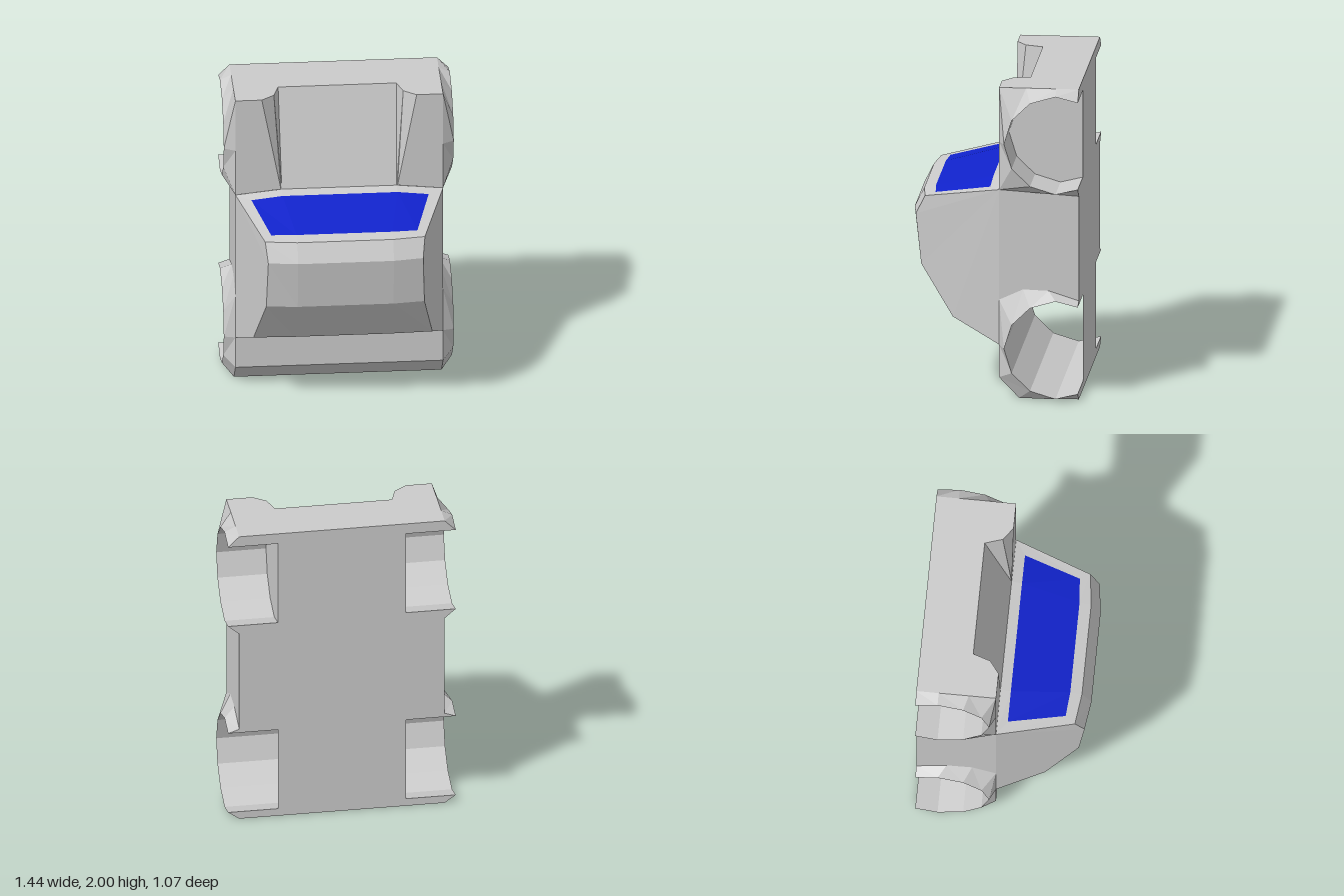
import * as THREE from 'three';

const W = 0.65, FLARE = 0.72, INNER = 0.405, BACK = -0.53, FRONT = -0.03;

// Collects convex faces, turning each one towards a hint direction
class Faces {
  constructor() { this.pos = []; }
  tri(a, b, c, hint) {
    const [A, B, C] = [a, b, c].map(p => new THREE.Vector3(...p));
    const n = B.clone().sub(A).cross(C.clone().sub(A));
    if (n.lengthSq() < 1e-12) return;
    const order = n.dot(new THREE.Vector3(...hint)) < 0 ? [a, c, b] : [a, b, c];
    order.forEach(p => this.pos.push(...p));
  }
  fan(pts, hint) {
    for (let i = 1; i < pts.length - 1; i++) this.tri(pts[0], pts[i], pts[i + 1], hint);
    return this;
  }
  strip(a, b, hint) {
    for (let i = 0; i < a.length - 1; i++) {
      const h = typeof hint === 'function' ? hint(a[i], a[i + 1]) : hint;
      this.fan([a[i], a[i + 1], b[i + 1], b[i]], h);
    }
    return this;
  }
  // Adds a copy reflected to the other side
  mirror() {
    const p = this.pos.slice();
    for (let i = 0; i < p.length; i += 9)
      for (const k of [0, 6, 3]) this.pos.push(-p[i + k], p[i + k + 1], p[i + k + 2]);
    return this;
  }
  mesh(name, color = 0xcccccc) {
    const g = new THREE.BufferGeometry();
    g.setAttribute('position', new THREE.Float32BufferAttribute(this.pos, 3));
    g.computeVertexNormals();
    const m = new THREE.Mesh(g, new THREE.MeshStandardMaterial({
      color, flatShading: true, side: THREE.DoubleSide }));
    m.name = name;
    return m;
  }
}

// Place a [z, y] outline at a given x
const at = (x, outline) => outline.map(([z, y]) => [x, y, z]);
// Full-width row with a flat middle and bent-back ends
const row = (y, xEnd, zEnd, zMid, xMid = 0.3, yMid = y) => [
  [-xEnd, y, zEnd], [-xMid, yMid, zMid], [xMid, yMid, zMid], [xEnd, y, zEnd]];

// Open wheel arch outline [z, y] around a centre height
const arch = (cy) => [
  [BACK, cy + 0.28], [-0.39, cy + 0.315], [-0.23, cy + 0.267], [-0.115, cy + 0.155],
  [-0.067, cy], [-0.115, cy - 0.155], [-0.23, cy - 0.267], [-0.39, cy - 0.315], [BACK, cy - 0.28]];

export function createModel() {
  const group = new THREE.Group();
  const add = m => group.add(m);

  // Cabin shell, from the windshield edge over the roof to the tail
  const brow = row(1.25, 0.5, 0.45, 0.475);
  const roof = [brow, row(1.13, 0.485, 0.51, 0.535), row(0.81, 0.495, 0.475, 0.495),
    row(0.49, 0.56, 0.27, 0.28), row(0.34, W, FRONT, FRONT)];
  const cabin = new Faces();
  for (let i = 0; i < roof.length - 1; i++) cabin.strip(roof[i], roof[i + 1], [0, 0, 1]);
  add(cabin.mesh('cabinRoof'));
  add(new Faces().fan([[W, 1.34, FRONT], ...roof.map(r => r[3])], [1, 0, 0])
    .mirror().mesh('cabinSides'));

  // Windshield frame and coloured glass
  const cowl = row(1.34, W, FRONT, FRONT, 0.36, 1.37);
  const glassTop = row(1.333, 0.555, 0.035, 0.035, 0.36, 1.355);
  const glassLow = row(1.264, 0.458, 0.388, 0.402, 0.3, 1.267);
  const up = [0, 1, 0.2];
  add(new Faces().strip(cowl, glassTop, up).strip(glassLow, brow, up)
    .fan([cowl[0], glassTop[0], glassLow[0], brow[0]], up)
    .fan([cowl[3], glassTop[3], glassLow[3], brow[3]], up).mesh('windshieldFrame'));
  add(new Faces().strip(glassTop, glassLow, up).mesh('windshield', 0x1022cc));

  // Sunken sloping hood between two raised fenders
  const nose = [[W, 2, FRONT], [0.485, 2, FRONT], [0.405, 2, -0.09], [0.37, 2, -0.2]];
  const hoodRear = [[W, 1.34, FRONT], [0.405, 1.366, FRONT], [0.365, 1.37, FRONT], [0.36, 1.37, FRONT]];
  const flip = ([x, y, z]) => [-x, y, z];
  add(new Faces().strip(nose, hoodRear, [-0.2, 0, 1]).mirror().mesh('fenderTops'));
  add(new Faces().fan([nose[3], flip(nose[3]), flip(hoodRear[3]), hoodRear[3]], [0, 0, 1]).mesh('hood'));

  // End plate, following the fender and hood outline
  const noseRow = [...nose, ...nose.slice().reverse().map(flip)];
  add(new Faces().strip(noseRow, noseRow.map(([x, y]) => [x, y, BACK]), [0, 1, 0]).mesh('nosePlate'));

  // Deck and chamfered bumper at the lower end
  const deck = [[FRONT, 0.34], [FRONT, 0.13], [-0.155, 0], [BACK, 0]];
  add(new Faces().strip(at(W, deck), at(-W, deck), [0, -1, 1]).mesh('tailDeck'));

  // Wheel arches: the upper pair is walled off, the lower one runs right across
  const wells = [
    { name: 'front', cy: 1.65, inner: INNER, base: [[BACK, 2], [-0.39, 2], [-0.2, 2], [FRONT, 2],
      [FRONT, 1.65], [FRONT, 1.34], [-0.2, 1.33], [-0.39, 1.318], [BACK, 1.31]] },
    { name: 'rear', cy: 0.33, inner: 0, base: [[BACK, 0.635], [-0.34, 0.695], [-0.18, 0.7], [FRONT, 0.63],
      [FRONT, 0.34], [FRONT, 0.13], [-0.155, 0], [-0.39, 0], [BACK, 0]] }];
  for (const { name, cy, inner, base } of wells) {
    const edge = arch(cy);
    const inward = (a, b) => [0, cy - (a[1] + b[1]) / 2, -0.39 - (a[2] + b[2]) / 2];
    add(new Faces().strip(at(W, base), at(FLARE, edge), [1, 0, 0]).mirror().mesh(name + 'Flares'));
    const well = new Faces().strip(at(FLARE, edge), at(inner, edge), inward);
    if (inner) well.fan(at(inner, edge), [1, 0, 0]);
    add(well.mirror().mesh(name + 'WheelWells'));
  }

  // Flat body sides between the arches
  add(new Faces().fan(at(W, [[BACK, 1.31], [BACK, 0.635], [-0.34, 0.695], [-0.18, 0.7],
    [FRONT, 0.63], [FRONT, 1.34], [-0.2, 1.33], [-0.39, 1.318]]), [1, 0, 0]).mirror().mesh('bodySides'));

  // Flat floor: a central spine with side panels around the arches
  const floor = new Faces().fan([[0, 0, BACK], [INNER, 0, BACK], [INNER, 2, BACK], [0, 2, BACK]], [0, 0, -1]);
  const panels = [
    [[W, 0], [FLARE, 0.05]],
    [[FLARE, 0.61], [W, 0.635], [W, 1.31], [FLARE, 1.37]],
    [[FLARE, 1.93], [W, 2]]];
  for (const p of panels)
    floor.strip(p.map(([x, y]) => [x, y, BACK]), p.map(([, y]) => [INNER, y, BACK]), [0, 0, -1]);
  add(floor.mirror().mesh('floor'));

  return group;
}
